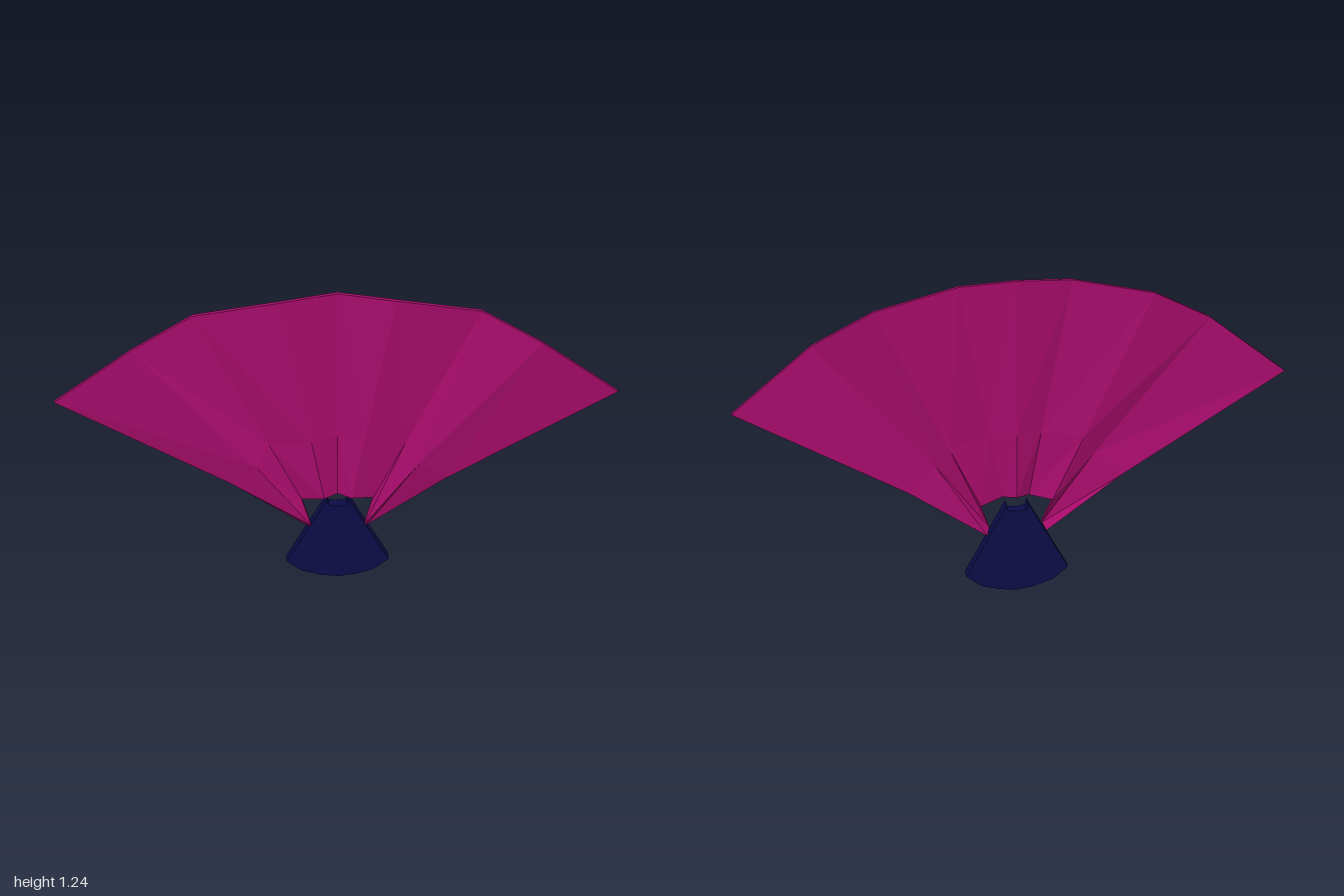
import * as THREE from 'three';

const leafMaterial = new THREE.MeshStandardMaterial({ name: 'magenta leaf', color: 0xa60c6a, flatShading: true, side: THREE.DoubleSide });
const handleMaterial = new THREE.MeshStandardMaterial({ name: 'navy handle', color: 0x0c0c48, flatShading: true });

const THICKNESS = 0.014;
const RIDGE = 0.026;
const VALLEY = 0;

// One half of the folds, from the centre outwards: [outer, middle, inner] points
const halfFolds = [
  [[0, 1.235], [0, 0.65], [0, 0.39]],
  [[0.2, 1.217], [0.095, 0.64], [0.05, 0.385]],
  [[0.495, 1.157], [0.248, 0.616], [0.134, 0.368]],
  [[0.71, 1.04], [0.295, 0.535], [0.1, 0.262]],
  [[1, 0.818], [0.4, 0.45], [0.112, 0.24]],
];

// Pleated sheet with a front, a back and a rim
function pleatedLeaf() {
  const folds = [];
  for (let i = -4; i <= 4; i++) {
    const k = Math.abs(i);
    const z = k % 2 ? RIDGE : VALLEY;
    folds.push(halfFolds[k].map(([x, y]) => [i < 0 ? -x : x, y, z]));
  }
  const back = ([x, y, z]) => [x, y, z - THICKNESS];
  const positions = [];
  const quad = (a, b, c, d) => [a, b, c, a, c, d].forEach((p) => positions.push(...p));
  const rim = (a, b) => quad(a, back(a), back(b), b);

  for (let i = 0; i < folds.length - 1; i++) {
    const l = folds[i];
    const r = folds[i + 1];
    for (let j = 0; j < 2; j++) {
      quad(l[j], l[j + 1], r[j + 1], r[j]);
      quad(back(l[j]), back(r[j]), back(r[j + 1]), back(l[j + 1]));
    }
    rim(r[0], l[0]);
    rim(l[2], r[2]);
  }
  // Outer sides
  for (let j = 0; j < 2; j++) {
    rim(folds[0][j], folds[0][j + 1]);
    rim(folds[8][j + 1], folds[8][j]);
  }
  const geometry = new THREE.BufferGeometry();
  geometry.setAttribute('position', new THREE.Float32BufferAttribute(positions, 3));
  geometry.computeVertexNormals();
  return geometry;
}

// Wedge with a faceted bottom and a notched top
function handleWedge() {
  const half = [[0, 0], [0.07, 0.01], [0.138, 0.032], [0.195, 0.08], [0.04, 0.37], [0.034, 0.345]];
  const mirrored = half.slice(1).reverse().map(([x, y]) => [-x, y]);
  const outline = [...half, [0, 0.34], ...mirrored].map(([x, y]) => new THREE.Vector2(x, y));
  const geometry = new THREE.ExtrudeGeometry(new THREE.Shape(outline), { depth: 0.04, bevelEnabled: false });
  geometry.translate(0, 0, -0.026);
  return geometry;
}

export function createModel() {
  const fan = new THREE.Group();
  fan.name = 'foldingFan';

  const leaf = new THREE.Mesh(pleatedLeaf(), leafMaterial);
  leaf.name = 'pleatedLeaf';

  const handle = new THREE.Mesh(handleWedge(), handleMaterial);
  handle.name = 'handle';

  fan.add(leaf, handle);
  return fan;
}
